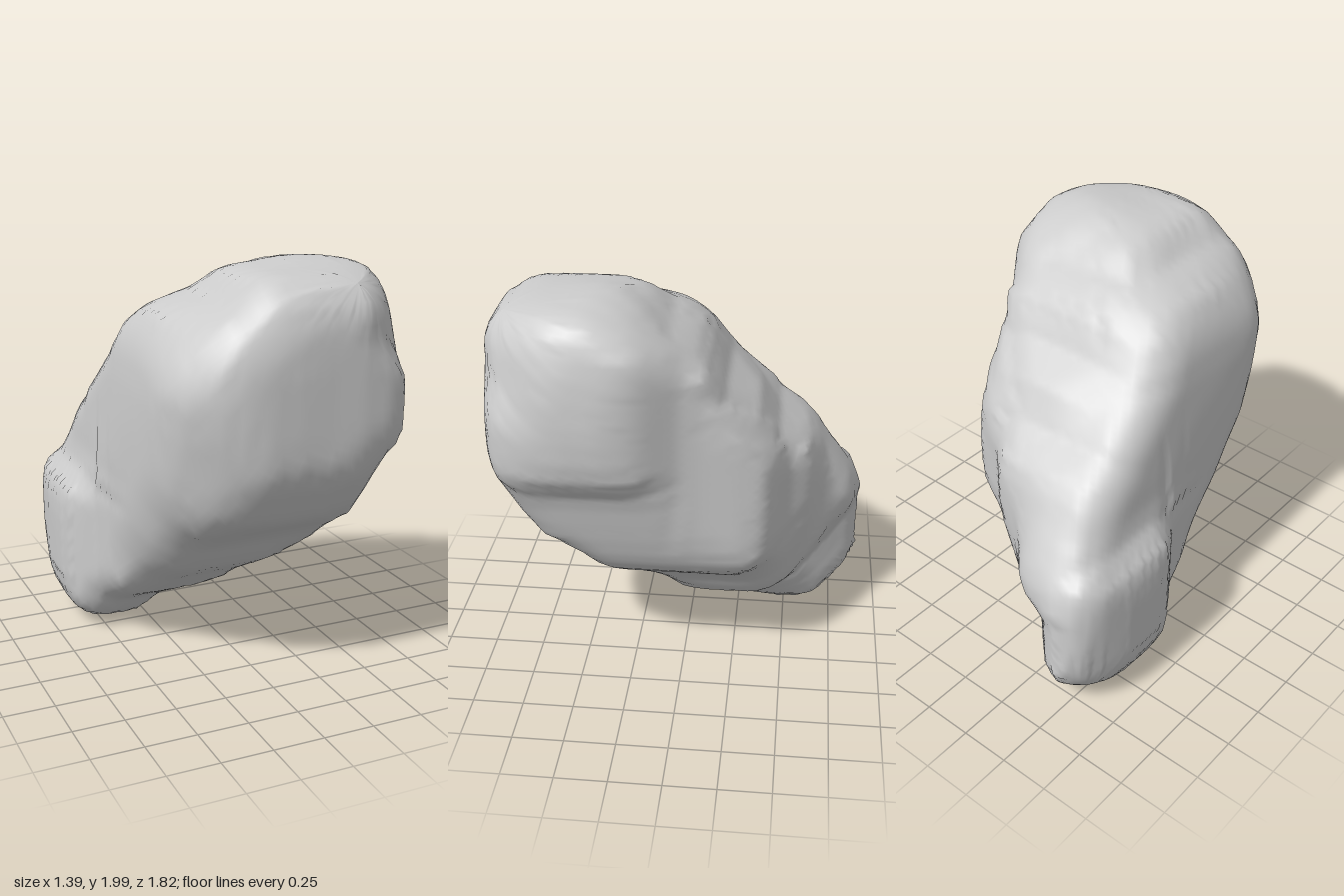
import * as THREE from 'three';

// Outlines of the boulder: front (x, y), side (z, y) and plan (x, z)
const FRONT = [
  -0.42, 0, -0.28, 0.02, -0.2, 0.1, -0.1, 0.2, 0.08, 0.28, 0.16, 0.4, 0.26, 0.5, 0.4, 0.6,
  0.47, 0.72, 0.53, 0.92, 0.58, 1.09, 0.66, 1.19, 0.695, 1.4, 0.685, 1.62, 0.655, 1.8, 0.61, 1.92,
  0.5, 1.975, 0.27, 2, 0.05, 1.975, -0.1, 1.94, -0.2, 1.84, -0.38, 1.78, -0.46, 1.68, -0.51, 1.55,
  -0.54, 1.3, -0.56, 1.08, -0.59, 0.86, -0.67, 0.78, -0.7, 0.62, -0.7, 0.28, -0.65, 0.11, -0.56, 0.03,
];
const SIDE = [
  -0.5, 0, -0.3, 0.02, -0.2, 0.08, -0.12, 0.18, 0.05, 0.27, 0.22, 0.4, 0.4, 0.51, 0.52, 0.66,
  0.62, 0.74, 0.76, 0.83, 0.84, 0.95, 0.92, 1.1, 0.935, 1.4, 0.92, 1.72, 0.89, 1.9, 0.84, 1.94,
  0.6, 1.975, 0.4, 2, 0.25, 1.98, 0.15, 1.92, 0.07, 1.83, -0.04, 1.78, -0.13, 1.67, -0.2, 1.54,
  -0.35, 1.42, -0.45, 1.26, -0.6, 1.15, -0.7, 1, -0.82, 0.82, -0.9, 0.66, -0.935, 0.45, -0.9, 0.24,
  -0.82, 0.13, -0.68, 0.04,
];
const PLAN = [
  -0.4, -0.935, -0.3, -0.915, -0.23, -0.86, -0.15, -0.73, -0.06, -0.66, 0.08, -0.61, 0.18, -0.51,
  0.38, -0.42, 0.43, -0.35, 0.47, -0.18, 0.52, 0, 0.64, 0.16, 0.685, 0.27, 0.7, 0.4, 0.665, 0.7,
  0.6, 0.84, 0.48, 0.9, 0.2, 0.92, -0.12, 0.93, -0.3, 0.9, -0.42, 0.84, -0.49, 0.74, -0.53, 0.55,
  -0.55, 0.2, -0.585, -0.1, -0.68, -0.24, -0.7, -0.42, -0.675, -0.72, -0.62, -0.85,
];
// Diagonal outlines that bevel the corners: along the lean, across its back, and across its underside
const END = [
  -0.34, 0.76, -0.17, 0.75, -0.02, 0.72, 0.12, 0.73, 0.26, 0.67, 0.37, 0.57, 0.43, 0.38, 0.52, 0.25,
  0.58, 0.09, 0.585, -0.085, 0.56, -0.28, 0.47, -0.42, 0.29, -0.55, 0.17, -0.65, 0.01, -0.72,
  -0.1, -0.75, -0.24, -0.72, -0.34, -0.64, -0.52, -0.49, -0.63, -0.38, -0.75, -0.255, -0.805, -0.07,
  -0.86, 0.2, -0.85, 0.33, -0.79, 0.45, -0.66, 0.58, -0.5, 0.7,
];
const BACK = [
  -0.25, 1.17, -0.095, 1.21, 0.14, 1.23, 0.35, 1.205, 0.51, 1.135, 0.635, 1.04, 0.73, 0.92, 0.81, 0.8,
  0.855, 0.64, 0.855, 0.45, 0.82, 0.235, 0.775, 0.04, 0.69, -0.14, 0.615, -0.31, 0.505, -0.51,
  0.445, -0.69, 0.41, -0.935, 0.35, -1.105, 0.245, -1.22, 0.1, -1.27, 0, -1.29, -0.145, -1.27,
  -0.265, -1.2, -0.315, -1.09, -0.315, -0.845, -0.395, -0.72, -0.435, -0.58, -0.49, -0.405,
  -0.565, -0.26, -0.585, -0.085, -0.55, 0.165, -0.5, 0.375, -0.45, 0.495, -0.45, 0.695, -0.42, 0.91,
  -0.37, 1.08,
];
const UNDER = [
  -0.74, 0.88, -0.615, 0.9, -0.36, 0.85, -0.24, 0.79, -0.03, 0.7, 0.185, 0.6, 0.325, 0.47, 0.445, 0.35,
  0.645, 0.24, 0.785, 0.13, 0.93, -0.02, 1.045, -0.15, 1.065, -0.3, 1.02, -0.51, 0.95, -0.69,
  0.82, -0.83, 0.68, -0.93, 0.575, -0.945, 0.43, -0.9, 0.31, -0.82, 0.115, -0.75, -0.17, -0.63,
  -0.42, -0.51, -0.58, -0.46, -0.74, -0.33, -0.95, -0.03, -1.035, 0.105, -1.05, 0.21, -1.015, 0.36,
  -0.95, 0.46, -0.91, 0.625, -0.845, 0.765,
];
const BLEND = 0.2, AROUND = 104, CAP = 20, BODY = 44;

// Prism through an outline: smooth counter-clockwise edge loop plus its drawing axes
function prism(list, h, v, centre = 0) {
  const corners = [];
  for (let i = 0; i < list.length; i += 2) corners.push(new THREE.Vector3(list[i], list[i + 1], 0));
  const points = new THREE.CatmullRomCurve3(corners, true).getPoints(corners.length * 2).slice(0, -1);
  if (THREE.ShapeUtils.isClockWise(points)) points.reverse();
  return { points, h, v, lift: v.y * centre };
}

// Prism seen along a diagonal, tilted 30 degrees up or down
function diagonalPrism(list, dx, dz, tilt) {
  const d = new THREE.Vector3(dx * Math.SQRT1_2, tilt * Math.tan(Math.PI / 6), dz * Math.SQRT1_2).normalize();
  const h = new THREE.Vector3(0, 1, 0).cross(d).normalize();
  return prism(list, h, d.clone().cross(h), 1);
}

// Signed distance to a prism (negative inside) and its outward direction
function prismField({ points, h, v, lift }, p) {
  const x = p.dot(h), y = p.dot(v) - lift;
  let nearest = Infinity, inside = false, nx = 0, ny = 0;
  for (let i = 0, j = points.length - 1; i < points.length; j = i++) {
    const a = points[j], b = points[i];
    const ex = b.x - a.x, ey = b.y - a.y, wx = x - a.x, wy = y - a.y;
    const t = Math.min(1, Math.max(0, (wx * ex + wy * ey) / (ex * ex + ey * ey)));
    const d = (wx - ex * t) ** 2 + (wy - ey * t) ** 2;
    if (d < nearest) { nearest = d; nx = ey; ny = -ex; }
    if ((a.y > y) !== (b.y > y) && x < a.x + (ex * wy) / ey) inside = !inside;
  }
  const normal = h.clone().multiplyScalar(nx).addScaledVector(v, ny).normalize();
  return { d: (inside ? -1 : 1) * Math.sqrt(nearest), normal };
}

// Intersection of the prisms, rounded more where they meet at a sharper angle
function boulderDistance(prisms, p) {
  const fields = prisms.map((prismShape) => prismField(prismShape, p));
  const outer = fields.reduce((a, b) => (b.d > a.d ? b : a));
  let rounding = 0;
  for (const f of fields) {
    const k = BLEND * Math.min(1, f.normal.distanceTo(outer.normal) * Math.SQRT1_2) + 1e-6;
    rounding = Math.max(rounding, Math.max(k - (outer.d - f.d), 0) ** 2 / k / 4);
  }
  return outer.d + (f0(outer.d) * rounding);
}

// Rounding applies only near the surface
function f0(d) {
  return 1 - THREE.MathUtils.smoothstep(-d, 0.15, 0.3);
}

function boulderGeometry() {
  const X = new THREE.Vector3(1, 0, 0), Y = new THREE.Vector3(0, 1, 0), Z = new THREE.Vector3(0, 0, 1);
  const prisms = [
    prism(FRONT, X, Y), prism(SIDE, Z, Y), prism(PLAN, X, Z),
    diagonalPrism(END, 1, 1, 1), diagonalPrism(BACK, -1, -1, 1), diagonalPrism(UNDER, 1, -1, -1),
  ];
  // Leaning core line and the two directions across it
  const tail = new THREE.Vector3(-0.4, 0.4, -0.5), head = new THREE.Vector3(0.12, 1.45, 0.4);
  const axis = head.clone().sub(tail).normalize();
  const u = Y.clone().cross(axis).normalize();
  const v = axis.clone().cross(u);

  // Push a grid outward from the core line until it meets the rounded surface
  const pos = [], index = [], rows = CAP * 2 + BODY;
  for (let r = 0; r <= rows; r++) {
    const along = THREE.MathUtils.clamp((r - CAP) / BODY, 0, 1);
    const tilt = (Math.min(r - CAP, 0) + Math.max(r - CAP - BODY, 0)) / CAP * Math.PI / 2;
    const origin = tail.clone().lerp(head, along);
    for (let i = 0; i < AROUND; i++) {
      const angle = (i / AROUND) * Math.PI * 2;
      const ray = u.clone().multiplyScalar(Math.cos(angle)).addScaledVector(v, Math.sin(angle))
        .multiplyScalar(Math.cos(tilt)).addScaledVector(axis, Math.sin(tilt));
      const p = origin.clone();
      for (let step = 0; step < 35; step++) {
        const d = boulderDistance(prisms, p);
        p.addScaledVector(ray, -0.9 * d);
        if (Math.abs(d) < 0.001) break;
      }
      pos.push(p.x, p.y, p.z);
    }
  }
  for (let r = 0; r < rows; r++) {
    for (let i = 0; i < AROUND; i++) {
      const a = r * AROUND + i, b = r * AROUND + ((i + 1) % AROUND);
      index.push(a, b, a + AROUND, b, b + AROUND, a + AROUND);
    }
  }
  const geometry = new THREE.BufferGeometry();
  geometry.setAttribute('position', new THREE.Float32BufferAttribute(pos, 3));
  geometry.setIndex(index);
  geometry.computeVertexNormals();
  return geometry;
}

export function createModel() {
  const group = new THREE.Group();
  group.name = 'leaningBoulder';
  const boulder = new THREE.Mesh(boulderGeometry(), new THREE.MeshStandardMaterial({ color: 0xcccccc }));
  boulder.name = 'boulder';
  group.add(boulder);
  return group;
}
